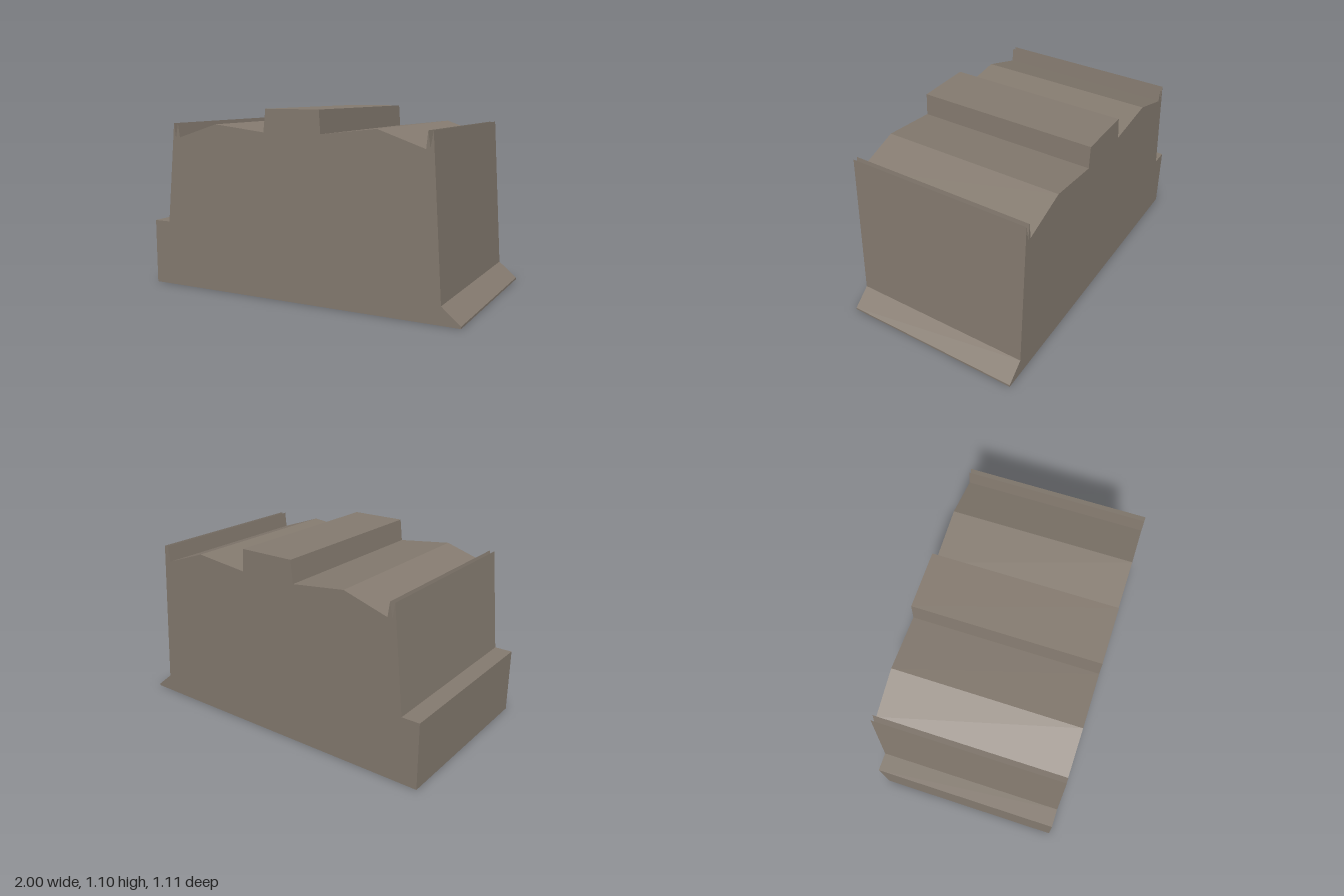
import * as THREE from 'three';

const DEPTH = 1.106;

export function createModel() {
  const group = new THREE.Group();
  group.name = 'steppedBlock';

  const stone = new THREE.MeshStandardMaterial({ color: 0x857b70 });
  stone.name = 'warm grey stone';

  // Cross-section, counter-clockwise from the bottom left
  const outline = [
    [-1, 0], [1, 0],
    // sloping foot and right wall
    [1, 0.012], [0.89, 0.104], [0.833, 1.005],
    // right double ridge
    [0.817, 0.915], [0.804, 1.005], [0.794, 0.91],
    // right roof hump, raised centre, left roof hump
    [0.52, 1.005], [0.183, 0.967], [0.174, 1.1],
    [-0.17, 1.1], [-0.185, 0.967], [-0.52, 1.005], [-0.788, 0.92],
    // left double ridge
    [-0.8, 1.005], [-0.818, 0.915], [-0.83, 1.005],
    // left wall and step
    [-0.892, 0.395], [-1, 0.395],
  ];
  const shape = new THREE.Shape(outline.map(([x, y]) => new THREE.Vector2(x, y)));
  const geometry = new THREE.ExtrudeGeometry(shape, { depth: DEPTH, bevelEnabled: false });
  geometry.translate(0, 0, -DEPTH / 2);

  const body = new THREE.Mesh(geometry, stone);
  body.name = 'body';
  group.add(body);
  return group;
}
